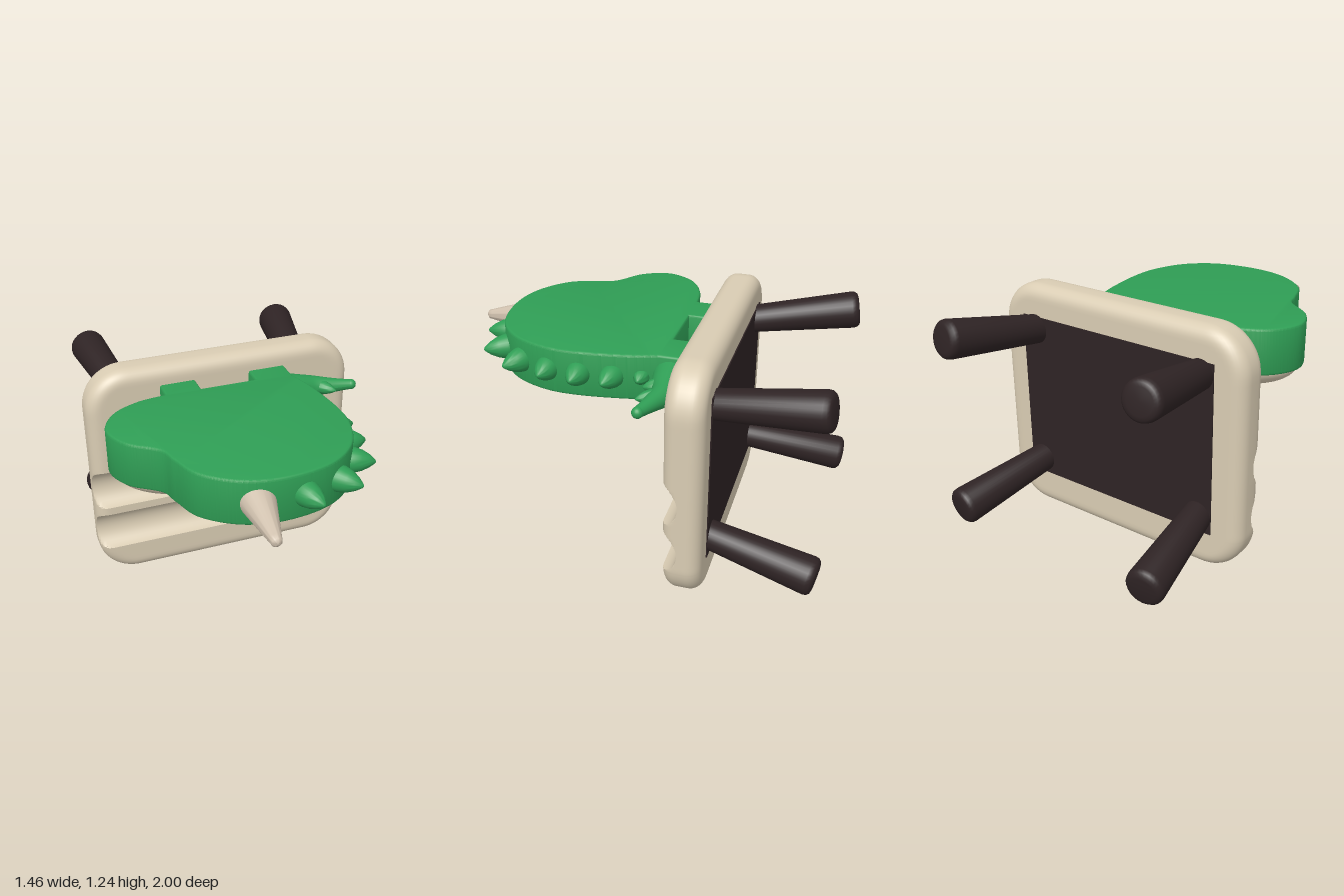
import * as THREE from 'three';
import { toCreasedNormals } from 'three/addons/utils/BufferGeometryUtils.js';

const mat = (name, color) => {
  const m = new THREE.MeshStandardMaterial({ color });
  m.name = name;
  return m;
};
const V = (x, y, z) => new THREE.Vector3(x, y, z);

export function createModel() {
  const green = mat('green', 0x2f9e55);
  const cream = mat('cream', 0xd9ccb3);
  const ivory = mat('ivory', 0xcfc0ad);
  const dark = mat('dark brown', 0x2e2324);

  const root = new THREE.Group();
  const add = (name, geo, material, parent = root) => {
    const mesh = new THREE.Mesh(geo, material);
    mesh.name = name;
    parent.add(mesh);
    return mesh;
  };
  // Turned part whose axis runs from point a to point b
  const turned = (name, profile, a, b, material, parent = root) => {
    const geo = new THREE.LatheGeometry(profile.map(([r, h]) => new THREE.Vector2(r, h)), 28);
    const mesh = add(name, toCreasedNormals(geo, 0.7), material, parent);
    mesh.position.copy(a);
    mesh.quaternion.setFromUnitVectors(V(0, 1, 0), b.clone().sub(a).normalize());
    return mesh;
  };

  add('seatBoard', boardGeometry(), cream);

  // Underside panel
  const panel = add('undersidePanel', new THREE.BoxGeometry(1.15, 0.88, 0.008), dark);
  panel.position.set(0, 0.64, -0.452);

  // Splayed legs, thicker at the rounded foot
  const legs = new THREE.Group();
  legs.name = 'legs';
  root.add(legs);
  for (const s of [-1, 1]) {
    for (const t of [-1, 1]) {
      const a = V(0.495 * s, 0.65 + 0.362 * t, -0.43);
      const b = V(0.575 * s, 0.65 + 0.452 * t, -0.985);
      const L = a.distanceTo(b);
      turned('leg', [[0, 0], [0.073, 0], [0.096, L - 0.035], [0.092, L - 0.016],
        [0.08, L - 0.004], [0.062, L], [0, L]], a, b, dark, legs);
    }
  }

  // Flat head and neck plate
  const head = new THREE.Shape();
  const curve = [[-0.5, -0.135], [-0.64, -0.055], [-0.71, 0.09], [-0.655, 0.24], [-0.52, 0.35],
    [-0.483, 0.45], [-0.42, 0.6], [-0.26, 0.72], [-0.06, 0.76], [0.165, 0.72], [0.32, 0.6],
    [0.4, 0.42], [0.412, 0.24], [0.38, 0], [0.34, -0.14]];
  head.moveTo(-0.345, -0.3);
  head.lineTo(-0.345, -0.16);
  head.splineThru(curve.map(([x, z]) => new THREE.Vector2(x, z)));
  [[0.34, -0.3], [0.14, -0.3], [0.14, -0.16], [-0.155, -0.16], [-0.155, -0.3]]
    .forEach(([x, z]) => head.lineTo(x, z));
  const headGeo = new THREE.ExtrudeGeometry(head, {
    depth: 0.211, curveSegments: 90, bevelThickness: 0.012, bevelSize: 0.012,
    bevelOffset: -0.012, bevelSegments: 3,
  });
  headGeo.rotateX(Math.PI / 2);
  add('head', toCreasedNormals(headGeo, 0.6), green).position.y = 1.128;

  // Snout bulging from the face
  const snout = add('snout',
    new THREE.SphereGeometry(1, 48, 20, 0, Math.PI * 2, Math.PI / 2, Math.PI / 2), cream);
  snout.scale.set(0.45, 0.148, 0.225);
  snout.position.set(-0.23, 0.906, 0.105);

  // Nostrils and eyes
  for (const x of [-0.46, -0.35]) {
    const nostril = add('nostril', new THREE.SphereGeometry(1, 16, 10), ivory);
    nostril.scale.set(0.02, 0.008, 0.014);
    nostril.position.set(x, x < -0.4 ? 0.784 : 0.769, 0.16);
  }
  for (const x of [-0.24, -0.095]) {
    const eye = add('eye', new THREE.SphereGeometry(1, 24, 12), dark);
    eye.scale.set(0.035, 0.011, 0.04);
    eye.position.set(x, 0.905, 0.42);
  }

  // Horn
  turned('horn', [[0, 0], [0.085, 0], [0.03, 0.25], [0.024, 0.275], [0.012, 0.285], [0, 0.287]],
    V(-0.185, 1.018, 0.715), V(-0.205, 0.985, 1), ivory);

  // Tapered tail
  const path = new THREE.CatmullRomCurve3([V(0.3, 1.025, -0.2), V(0.38, 1.022, -0.2),
    V(0.48, 1.018, -0.202), V(0.58, 1.02, -0.175), V(0.685, 1.024, -0.142)]);
  const N = 30, M = 20;
  const tail = new THREE.TubeGeometry(path, N, 1, M);
  const pos = tail.attributes.position, p = V(0, 0, 0);
  for (let i = 0; i <= N; i++) {
    const c = path.getPointAt(i / N), r = 0.027 + 0.073 * Math.pow(1 - i / N, 1.3);
    for (let j = 0; j <= M; j++) {
      const k = i * (M + 1) + j;
      p.fromBufferAttribute(pos, k).sub(c).multiplyScalar(r).add(c);
      pos.setXYZ(k, p.x, p.y, p.z);
    }
  }
  tail.computeVertexNormals();
  add('tail', tail, green);
  add('tailTip', new THREE.SphereGeometry(0.028, 18, 12), green).position.set(0.685, 1.024, -0.142);

  // Spikes: base x, z, tip x, z, base radius
  const spikes = new THREE.Group();
  spikes.name = 'spikes';
  root.add(spikes);
  for (const [x, z, tx, tz, r] of [
    [0.03, 0.73, 0.07, 0.865, 0.064], [0.215, 0.675, 0.295, 0.785, 0.064],
    [0.335, 0.555, 0.445, 0.615, 0.062], [0.385, 0.4, 0.492, 0.415, 0.06],
    [0.395, 0.24, 0.505, 0.25, 0.06], [0.38, 0.075, 0.49, 0.097, 0.058],
    [0.345, -0.06, 0.415, -0.055, 0.04], [0.42, -0.16, 0.455, -0.095, 0.038],
    [0.525, -0.165, 0.575, -0.095, 0.035],
  ]) {
    const a = V(x, 1.025, z), b = V(tx, 1.025, tz), h = a.distanceTo(b);
    turned('spike', [[0, 0], [r, 0], [r * 0.97, h * 0.2], [r * 0.8, h * 0.48],
      [r * 0.5, h * 0.75], [r * 0.15, h * 0.96], [0, h]], a, b, green, spikes);
  }
  return root;
}

// Rounded slab with two scooped grooves across its front, built from loops stacked in y
function boardGeometry() {
  const W = 0.73, H = 0.62, C = 0.22, B = 0.068, front = -0.26, back = -0.45, mid = -0.355;
  const grooves = [0.295, 0.565], R = 0.12, depthZ = -0.22, half = 0.1131;
  const n = 48;
  const ease = (i, count) => Math.sin((Math.PI / 2) * (2 * i / count - 1));

  let ys = [];
  for (let i = 0; i <= n; i++) ys.push(H + H * ease(i, n));
  ys = ys.filter((y) => grooves.every((g) => Math.abs(y - g) > half + 0.004));
  for (const g of grooves) for (let i = 0; i <= 18; i++) ys.push(g + half * ease(i, 18));
  ys.sort((a, b) => a - b);

  // How far the rounded edge falls back at a point of the face
  const drop = (x, y) => {
    const qx = Math.abs(x) - (W - C), qy = Math.abs(y - H) - (H - C);
    const d = C - Math.hypot(Math.max(qx, 0), Math.max(qy, 0)) - Math.min(Math.max(qx, qy), 0);
    const e = Math.min(B, Math.max(0, B - d));
    return B - Math.sqrt(B * B - e * e);
  };
  const verts = [], index = [];
  const row = (y, flat) => {
    const q = Math.max(0, Math.abs(y - H) - (H - C));
    const w = W - C + Math.sqrt(Math.max(0, C * C - q * q));
    for (let j = 0; j <= 2 * n + 1; j++) {
      const isFront = j <= n;
      const x = w * ease(isFront ? j : 2 * n + 1 - j, n);
      let z = isFront ? front - drop(x, y) : back + drop(x, y);
      if (isFront) {
        for (const g of grooves) {
          const dy = y - g;
          if (Math.abs(dy) < R) z = Math.min(z, depthZ - Math.sqrt(R * R - dy * dy));
        }
      }
      verts.push(x, y, flat ? mid : z);
    }
  };
  row(0, true);
  ys.forEach((y) => row(y, false));
  row(2 * H, true);

  const loop = 2 * n + 2;
  for (let i = 0; i < ys.length + 1; i++) {
    for (let j = 0; j < loop; j++) {
      const a = i * loop + j, b = i * loop + (j + 1) % loop;
      index.push(a, b, b + loop, a, b + loop, a + loop);
    }
  }
  const geo = new THREE.BufferGeometry();
  geo.setAttribute('position', new THREE.Float32BufferAttribute(verts, 3));
  geo.setIndex(index);
  return toCreasedNormals(geo, 0.6);
}
